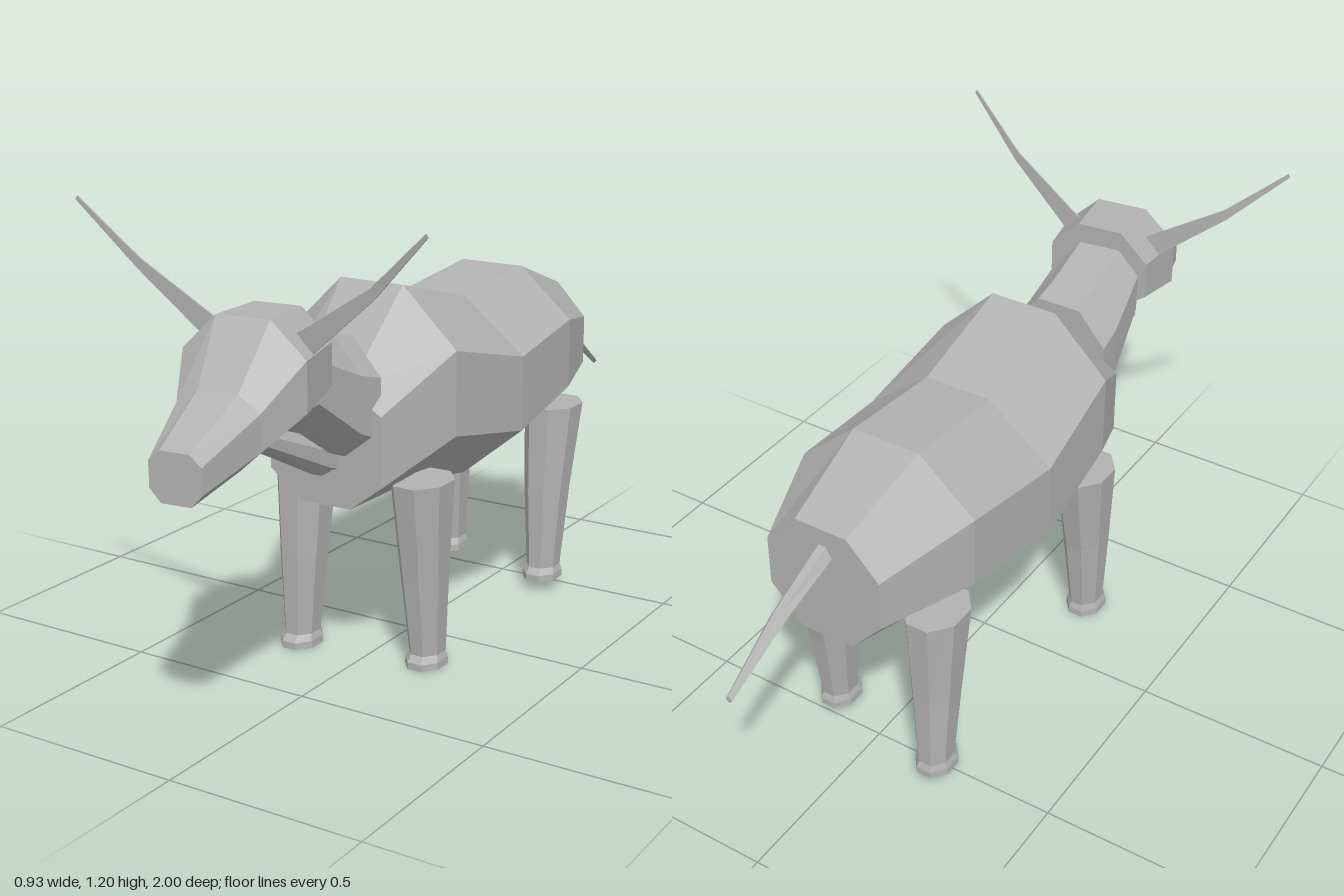
import * as THREE from 'three';

const hide = new THREE.MeshStandardMaterial({ color: 0xb2b2b2 });
hide.name = 'grey hide';
hide.flatShading = true;
hide.side = THREE.DoubleSide;

// Closed faceted skin through rings of equal point count, capped at both ends
function loft(name, rings) {
  const n = rings[0].length;
  const pos = rings.flat(2);
  const idx = [];
  for (let r = 0; r < rings.length - 1; r++) {
    for (let i = 0; i < n; i++) {
      const a = r * n + i, b = r * n + (i + 1) % n;
      idx.push(a, b, b + n, a, b + n, a + n);
    }
  }
  const last = (rings.length - 1) * n;
  for (let i = 1; i < n - 1; i++) {
    idx.push(0, i + 1, i);
    idx.push(last, last + i, last + i + 1);
  }
  const geo = new THREE.BufferGeometry();
  geo.setAttribute('position', new THREE.Float32BufferAttribute(pos, 3));
  geo.setIndex(idx);
  const flat = geo.toNonIndexed();
  flat.computeVertexNormals();
  const mesh = new THREE.Mesh(flat, hide);
  mesh.name = name;
  return mesh;
}

// Eight-sided section facing z: half width, half width of the flats,
// bottom, lower side, upper side, top; turn slants it across x
function section(z, cx, hw, fw, y0, y1, y2, y3, turn = 0) {
  return [[-fw, y0], [fw, y0], [hw, y1], [hw, y2], [fw, y3], [-fw, y3], [-hw, y2], [-hw, y1]]
    .map(([x, y]) => [cx + x, y, z - turn * x]);
}

// Eight-sided horizontal ring for the legs
function legRing(y, cx, cz, rx, rz) {
  return Array.from({ length: 8 }, (_, i) => {
    const a = (i + 0.5) * Math.PI / 4, k = 1 / Math.cos(Math.PI / 8);
    return [cx + Math.cos(a) * rx * k, y, cz - Math.sin(a) * rz * k];
  });
}

function leg(name, x, topY, footY, topZ, footZ) {
  const s = Math.sign(x + 0.02);
  const footX = x + s * 0.002;
  return loft(name, [
    legRing(footY, footX, footZ, 0.048, 0.06),
    legRing(footY + 0.018, footX, footZ, 0.047, 0.06),
    legRing(footY + 0.035, footX, footZ - 0.004, 0.041, 0.05),
    legRing(footY + 0.25, x, footZ * 0.6 + topZ * 0.4, 0.055, 0.066),
    legRing(topY, x, topZ, 0.07, 0.088),
  ]);
}

// Flat tapering horn, side = 1 or -1
function horn(name, side) {
  const lower = [[0.09, 0.875], [0.14, 0.892], [0.32, 1.042], [0.467, 1.19]];
  const upper = [[0.085, 0.93], [0.115, 0.945], [0.31, 1.065], [0.462, 1.198]];
  const depth = [0.632, 0.637, 0.66, 0.69];
  const t = 0.002;
  const rings = lower.map(([lx, ly], i) => {
    const [ux, uy] = upper[i], z = depth[i];
    const ring = [[side * lx, ly, z + t], [side * lx, ly, z - t],
      [side * ux, uy, z - t], [side * ux, uy, z + t]];
    return side > 0 ? ring : ring.reverse();
  });
  return loft(name, rings);
}

export function createModel() {
  const model = new THREE.Group();
  model.name = 'hornedAnimal';

  // Barrel, rump to chest
  model.add(loft('body', [
    section(-0.70, -0.015, 0.155, 0.07, 0.495, 0.59, 0.72, 0.81),
    section(-0.45, -0.02, 0.24, 0.09, 0.44, 0.585, 0.77, 0.90),
    section(-0.15, -0.02, 0.26, 0.09, 0.40, 0.54, 0.735, 0.872),
    section(0.15, -0.02, 0.24, 0.09, 0.45, 0.597, 0.81, 0.955),
    section(0.36, -0.02, 0.16, 0.07, 0.442, 0.51, 0.685, 0.74),
  ]));

  // Neck and the loose fold of skin below it
  model.add(loft('neck', [
    section(0.325, -0.02, 0.138, 0.06, 0.56, 0.62, 0.77, 0.86),
    section(0.40, -0.02, 0.132, 0.058, 0.59, 0.65, 0.79, 0.88),
    section(0.56, -0.01, 0.115, 0.055, 0.72, 0.76, 0.86, 0.925),
  ]));
  model.add(loft('dewlap', [
    section(0.345, -0.025, 0.042, 0.015, 0.525, 0.535, 0.58, 0.62),
    section(0.39, -0.025, 0.042, 0.015, 0.525, 0.55, 0.59, 0.62),
    section(0.655, -0.03, 0.045, 0.02, 0.665, 0.675, 0.70, 0.72),
  ]));

  // Head, turned slightly to its left
  model.add(loft('head', [
    section(0.55, -0.01, 0.135, 0.06, 0.75, 0.80, 0.90, 0.975, 0.1),
    section(0.70, 0.005, 0.153, 0.067, 0.71, 0.775, 0.892, 0.975, 0.13),
    section(0.815, 0.02, 0.105, 0.05, 0.665, 0.715, 0.80, 0.835, 0.1),
    section(0.99, 0.04, 0.065, 0.037, 0.635, 0.665, 0.725, 0.75, 0.1),
  ]));
  model.add(horn('leftHorn', 1), horn('rightHorn', -1));

  // Legs in mid stride
  model.add(
    leg('frontLeftLeg', 0.15, 0.49, 0, 0.19, 0.172),
    leg('frontRightLeg', -0.19, 0.49, 0, 0.19, 0.225),
    leg('backLeftLeg', 0.15, 0.52, 0.03, -0.503, -0.452),
    leg('backRightLeg', -0.19, 0.52, 0.03, -0.503, -0.522),
  );

  // Tail, tip to root
  const tailStops = [[-1.0, 0.03, 0.009, 0.505, 0.522], [-0.84, 0.008, 0.02, 0.625, 0.66],
    [-0.69, -0.02, 0.025, 0.715, 0.772]];
  model.add(loft('tail', tailStops.map(([z, x, w, low, high]) => {
    const m = (low + high) / 2;
    return [[x, low, z], [x + w, m, z], [x + w * 0.4, high, z], [x - w * 0.4, high, z], [x - w, m, z]];
  })));

  return model;
}
